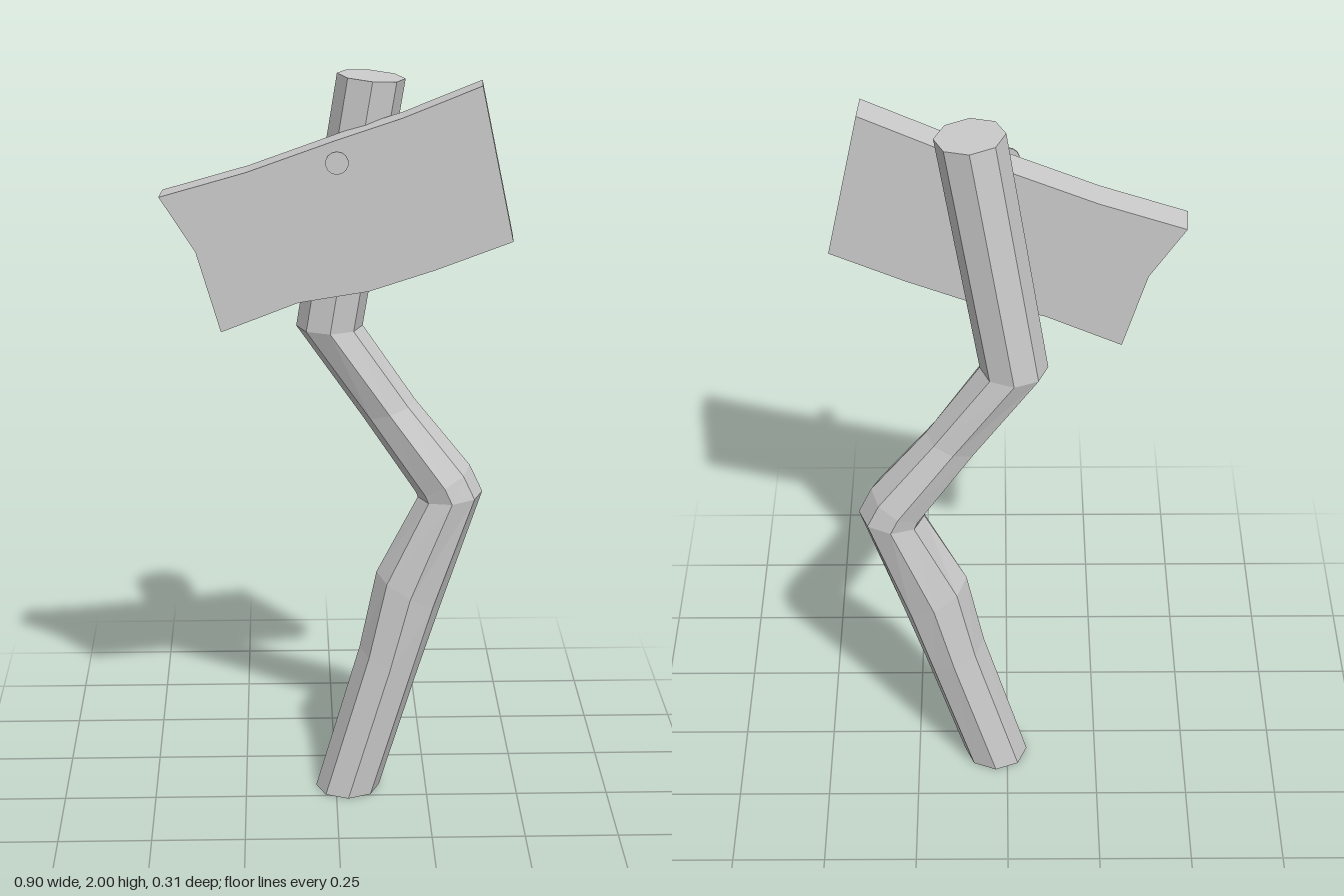
import * as THREE from 'three';

const material = new THREE.MeshStandardMaterial({ color: 0xcccccc, flatShading: true });

// Crooked eight-sided pole: [left x, left y, right x, right y, centre z, half depth]
function poleGeometry() {
  const sections = [
    [-0.055, 0, 0.12, 0, -0.068, 0.088],
    [0.065, 0.42, 0.225, 0.35, -0.068, 0.088],
    [0.11, 0.64, 0.285, 0.54, -0.068, 0.088],
    [0.22, 0.855, 0.393, 0.87, -0.068, 0.088],
    [0.215, 0.868, 0.358, 0.945, -0.068, 0.088],
    [0.07, 1.085, 0.21, 1.13, -0.068, 0.075],
    [-0.104, 1.335, 0.07, 1.335, -0.068, 0.09],
    [0.002, 2, 0.176, 1.985, -0.052, 0.088],
  ];
  const sides = 8;
  const positions = [];
  const index = [];
  for (const [lx, ly, rx, ry, z, depth] of sections) {
    for (let i = 0; i < sides; i++) {
      const a = (i / sides) * Math.PI * 2;
      const t = (1 + Math.cos(a)) / 2;
      positions.push(lx + (rx - lx) * t, ly + (ry - ly) * t, z - depth * Math.sin(a));
    }
  }
  for (let s = 0; s < sections.length - 1; s++) {
    for (let i = 0; i < sides; i++) {
      const a = s * sides + i;
      const b = s * sides + ((i + 1) % sides);
      index.push(a, b, b + sides, a, b + sides, a + sides);
    }
  }
  // End caps
  const top = (sections.length - 1) * sides;
  for (let i = 1; i < sides - 1; i++) {
    index.push(0, i + 1, i);
    index.push(top, top + i, top + i + 1);
  }
  const geometry = new THREE.BufferGeometry();
  geometry.setAttribute('position', new THREE.Float32BufferAttribute(positions, 3));
  geometry.setIndex(index);
  const flat = geometry.toNonIndexed();
  flat.computeVertexNormals();
  return flat;
}

// Bent plank with a notched end
function boardGeometry() {
  const outline = [
    [-0.45, 1.71], [-0.36, 1.57], [-0.298, 1.36], [-0.1, 1.44], [0.08, 1.472], [0.25, 1.53],
    [0.442, 1.605], [0.358, 1.997], [0.16, 1.915], [0, 1.86], [-0.23, 1.775],
  ];
  const shape = new THREE.Shape(outline.map(([x, y]) => new THREE.Vector2(x, y)));
  const thickness = 0.087;
  return new THREE.ExtrudeGeometry(shape, { depth: thickness, bevelEnabled: false })
    .translate(0, 0, -thickness);
}

export function createModel() {
  const model = new THREE.Group();
  model.name = 'signpost';
  const add = (name, geometry, parent = model) => {
    const mesh = new THREE.Mesh(geometry, material);
    mesh.name = name;
    parent.add(mesh);
    return mesh;
  };

  add('pole', poleGeometry());

  // Board hangs slightly turned on the front of the pole
  const board = add('board', boardGeometry());
  board.rotation.y = -0.068;
  board.position.z = 0.1;

  // Nail with a flared shank and a thin flat head
  const nail = new THREE.Group();
  nail.name = 'nail';
  nail.position.set(-0.003, 1.813, 0);
  nail.rotation.x = Math.PI / 2;
  model.add(nail);
  add('nailShank', new THREE.CylinderGeometry(0.013, 0.006, 0.065, 10), nail).position.y = 0.1205;
  add('nailHead', new THREE.CylinderGeometry(0.029, 0.029, 0.004, 14), nail).position.y = 0.155;

  return model;
}
